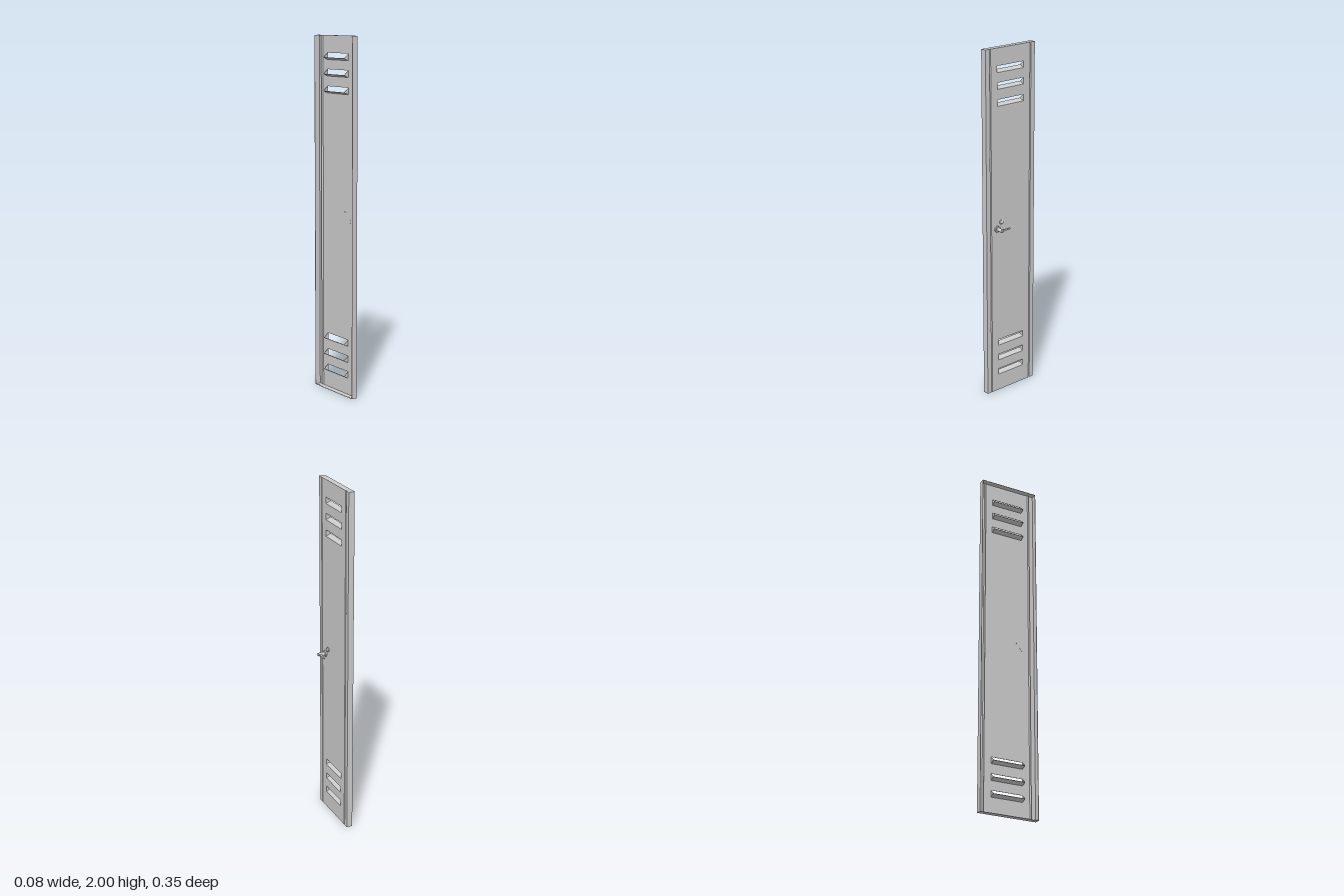
import * as THREE from 'three';

const mat = new THREE.MeshStandardMaterial({ color: 0xcccccc, side: THREE.DoubleSide });
const FRONT = -0.009, BACK = -0.043, HALF = 0.175, T = 0.002, H = 2;
const INNER = 0.139, OUTER = 0.147, VALLEY = 0.143, GROOVE = 0.009;
const SLOT_HALF = 0.094, SLOT_H = 0.036, RISE = 0.012;
const SLOTS = [0.098, 0.189, 0.282, 1.685, 1.778, 1.868];

function add(parent, name, geometry, x = 0, y = 0, z = 0) {
  const mesh = new THREE.Mesh(geometry, mat);
  mesh.name = name;
  mesh.position.set(x, y, z);
  parent.add(mesh);
  return mesh;
}

const polygon = (pts) => new THREE.Shape(pts.map(([x, y]) => new THREE.Vector2(x, y)));
const extrude = (shape, depth) => new THREE.ExtrudeGeometry(shape, { depth, bevelEnabled: false });
// Plan outline (x, -z) raised along y
const raise = (pts, height) => extrude(polygon(pts), height).rotateX(-Math.PI / 2);
// Turned part whose axis is x: points are [radius, distance along x]
const turned = (pts, sides = 24) => {
  const g = new THREE.LatheGeometry(pts.map(([r, d]) => new THREE.Vector2(r, d)), sides);
  return g.rotateZ(-Math.PI / 2);
};

function createDoor() {
  const door = new THREE.Group();
  door.name = 'door';

  // Front sheet pierced by the vent slots
  const sheet = polygon([[-INNER, 0], [INNER, 0], [INNER, H], [-INNER, H]]);
  for (const y of SLOTS) {
    sheet.holes.push(new THREE.Path([
      new THREE.Vector2(-SLOT_HALF, y), new THREE.Vector2(-SLOT_HALF, y + SLOT_H),
      new THREE.Vector2(SLOT_HALF, y + SLOT_H), new THREE.Vector2(SLOT_HALF, y),
    ]));
  }
  add(door, 'frontPanel', extrude(sheet, T).rotateY(Math.PI / 2), FRONT - T);

  // Folded edges: V groove, front strip and side return
  for (const s of [1, -1]) {
    add(door, s > 0 ? 'rightFoldedEdge' : 'leftFoldedEdge', raise([
      [FRONT, s * INNER], [FRONT - GROOVE, s * VALLEY], [FRONT, s * OUTER],
      [FRONT, s * HALF], [BACK, s * HALF], [BACK, s * (HALF - T)],
      [FRONT - T, s * (HALF - T)], [FRONT - T, s * (OUTER + 0.001)],
      [FRONT - GROOVE - T, s * VALLEY], [FRONT - T, s * (INNER - 0.001)],
    ], H));
  }

  // Top and bottom returns, notched at the grooves on both edges
  const half = [
    [FRONT, INNER], [FRONT - GROOVE, VALLEY], [FRONT, OUTER], [FRONT, HALF],
    [BACK, HALF], [BACK, OUTER], [BACK + GROOVE, VALLEY], [BACK, INNER],
  ];
  const cap = [...half, ...half.map(([x, z]) => [x, -z]).reverse()];
  add(door, 'bottomReturn', raise(cap, T));
  add(door, 'topReturn', raise(cap, T), 0, H - T);

  // Vents: a sloping sill between two triangular cheeks
  const x0 = FRONT - T / 2, x1 = FRONT - 0.03;
  const sill = extrude(polygon([[x0, 0], [x0, -T], [x1, RISE - T], [x1, RISE]]), 2 * SLOT_HALF);
  const cheek = extrude(polygon([[x0, 0], [x0, SLOT_H], [x1, RISE]]), T);
  SLOTS.forEach((y, i) => {
    const vent = new THREE.Group();
    vent.name = `vent${i + 1}`;
    vent.position.y = y;
    add(vent, 'sill', sill, 0, 0, -SLOT_HALF);
    add(vent, 'cheekFront', cheek, 0, 0, SLOT_HALF);
    add(vent, 'cheekBack', cheek, 0, 0, -SLOT_HALF - T);
    door.add(vent);
  });
  return door;
}

function createHandle() {
  const handle = new THREE.Group();
  handle.name = 'handle';
  handle.position.set(FRONT, 0.991, 0.1);
  // Round rose with a boss through the sheet
  add(handle, 'rose', turned([[0, -0.003], [0.018, -0.003], [0.018, -0.003],
    [0.018, 0.008], [0.018, 0.008], [0.017, 0.009], [0.017, 0.009], [0, 0.009]]));
  // Spindle with a stepped end
  add(handle, 'spindle', turned([[0.01, 0.009], [0.01, 0.046], [0.01, 0.046],
    [0.007, 0.047], [0.007, 0.047], [0.006, 0.05], [0.006, 0.05], [0, 0.05]]));
  // Tapered lever
  const lever = polygon([[0.031, 0], [0.035, 0.063], [0.041, 0.063], [0.045, 0]]);
  add(handle, 'lever', extrude(lever, 0.008).rotateX(-Math.PI / 2), 0, -0.004);
  return handle;
}

function createLock() {
  const lock = new THREE.Group();
  lock.name = 'lock';
  lock.position.set(FRONT, 1.026, 0.068);
  // Collar and domed button
  add(lock, 'collar', turned([[0, -0.003], [0.014, -0.003], [0.014, -0.003],
    [0.014, 0.004], [0.014, 0.004], [0.01, 0.006]]));
  add(lock, 'button', turned([[0.01, 0.004], [0.009, 0.008], [0.006, 0.0105], [0, 0.0115]]));
  return lock;
}

export function createModel() {
  const model = new THREE.Group();
  model.name = 'lockerDoor';
  model.add(createDoor(), createHandle(), createLock());
  return model;
}
